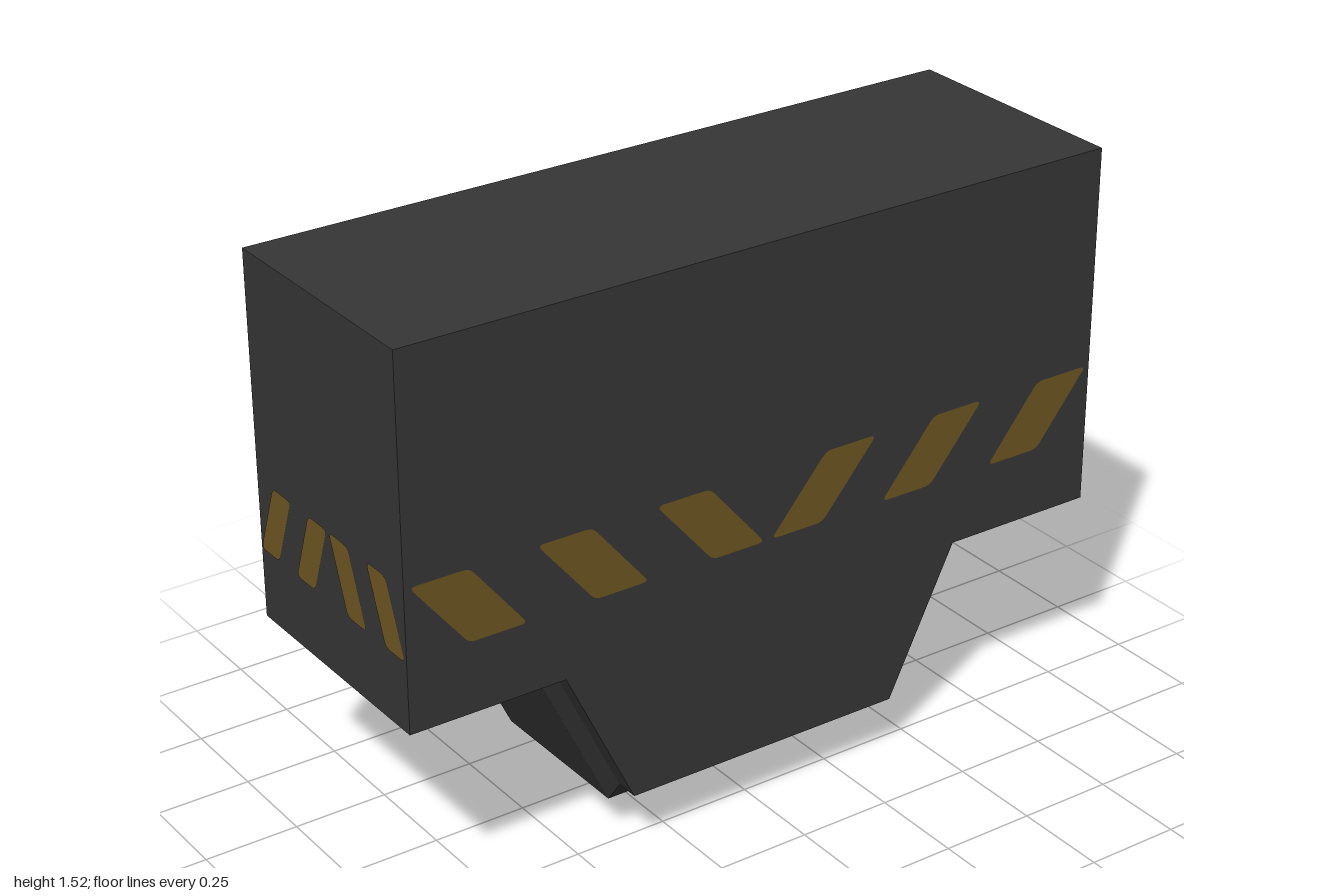
import * as THREE from 'three';

const charcoal = new THREE.MeshStandardMaterial({ color: 0x363636 });
charcoal.name = 'charcoal';
const amber = new THREE.MeshStandardMaterial({ color: 0x6e5623 });
amber.name = 'amber';

const HALF_W = 1, HALF_D = 0.333, TOP = 1.52;

// Stepped underside shared by the body and the bevelled pad
const underside = (end) => [
  [-end, 0.56], [-0.578, 0.56], [-0.39, 0.17], [0.39, 0.17], [0.578, 0.56], [end, 0.56],
];

function addMesh(parent, name, geometry, material) {
  const mesh = new THREE.Mesh(geometry, material);
  mesh.name = name;
  parent.add(mesh);
  return mesh;
}

// Polygon with slightly rounded corners
function roundedShape(points, r) {
  const p = points.map(([x, y]) => new THREE.Vector2(x, y));
  const shape = new THREE.Shape();
  p.forEach((c, i) => {
    const toward = (q) => c.clone().add(q.clone().sub(c).setLength(r));
    const a = toward(p[(i + p.length - 1) % p.length]);
    const b = toward(p[(i + 1) % p.length]);
    if (i === 0) shape.moveTo(a.x, a.y); else shape.lineTo(a.x, a.y);
    shape.quadraticCurveTo(c.x, c.y, b.x, b.y);
  });
  shape.closePath();
  return shape;
}

// Slanted stripes, mirrored about the middle of a face; each entry is [topX, bottomX, width]
function stripePanel(name, list, distance, angle) {
  const panel = new THREE.Group();
  panel.name = name;
  const y0 = 0.748, y1 = 0.937;
  for (const s of [1, -1]) {
    for (const [top, bottom, w] of list) {
      const pts = [[bottom * s, y0], [(bottom + w) * s, y0], [(top + w) * s, y1], [top * s, y1]];
      const shape = roundedShape(s > 0 ? pts : pts.reverse(), 0.018);
      const stripe = addMesh(panel, 'warningStripe', new THREE.ShapeGeometry(shape, 4), amber);
      stripe.position.z = distance + 0.002;
    }
  }
  panel.rotation.y = angle;
  return panel;
}

// Pad following the underside, tapering in depth towards its lower face
function padGeometry() {
  const line = underside(0.94), drop = 0.067, zTop = 0.27, zLow = 0.22;
  const pos = [];
  const quad = (a, b, c, d) => pos.push(...a, ...b, ...c, ...a, ...c, ...d);
  const rings = line.map(([x, y]) => ({
    ft: [x, y, zTop], fb: [x, y - drop, zLow], bb: [x, y - drop, -zLow], bt: [x, y, -zTop],
  }));
  for (let i = 0; i < rings.length - 1; i++) {
    const a = rings[i], b = rings[i + 1];
    quad(a.fb, b.fb, b.ft, a.ft);
    quad(b.bb, a.bb, a.bt, b.bt);
    quad(a.bb, b.bb, b.fb, a.fb);
  }
  const l = rings[0], r = rings[rings.length - 1];
  quad(l.bt, l.bb, l.fb, l.ft);
  quad(r.ft, r.fb, r.bb, r.bt);
  const g = new THREE.BufferGeometry();
  g.setAttribute('position', new THREE.Float32BufferAttribute(pos, 3));
  g.computeVertexNormals();
  return g;
}

// Four-sided stud narrowing downwards
function studGeometry(halfX, halfZ, height) {
  const g = new THREE.CylinderGeometry(Math.SQRT2, Math.SQRT2 * 0.35, height, 4, 1)
    .rotateY(Math.PI / 4).scale(halfX, 1, halfZ).toNonIndexed();
  g.computeVertexNormals();
  return g;
}

export function createModel() {
  const model = new THREE.Group();
  model.name = 'model';

  // Main block with its central keel
  const profile = [...underside(HALF_W), [HALF_W, TOP], [-HALF_W, TOP]];
  const outline = new THREE.Shape(profile.map(([x, y]) => new THREE.Vector2(x, y)));
  const body = new THREE.ExtrudeGeometry(outline, { depth: 2 * HALF_D, bevelEnabled: false });
  addMesh(model, 'body', body.translate(0, 0, -HALF_D), charcoal);

  addMesh(model, 'undersidePad', padGeometry(), charcoal);

  // Studs under the wings and the keel
  for (const s of [-1, 1]) {
    addMesh(model, 'wingStud', studGeometry(0.1, 0.138, 0.1), amber).position.set(s * 0.757, 0.443, 0);
    addMesh(model, 'keelStud', studGeometry(0.115, 0.138, 0.103), amber).position.set(s * 0.195, 0.0515, 0);
  }

  // Warning stripes on all four faces
  const long = [[0.17, 0.01, 0.152], [0.5, 0.345, 0.15], [0.83, 0.68, 0.157]];
  const short = [[0.005, 0.075, 0.085], [0.172, 0.245, 0.085]];
  model.add(
    stripePanel('frontStripes', long, HALF_D, 0),
    stripePanel('backStripes', long, HALF_D, Math.PI),
    stripePanel('leftStripes', short, HALF_W, Math.PI / 2),
    stripePanel('rightStripes', short, HALF_W, -Math.PI / 2),
  );
  return model;
}
